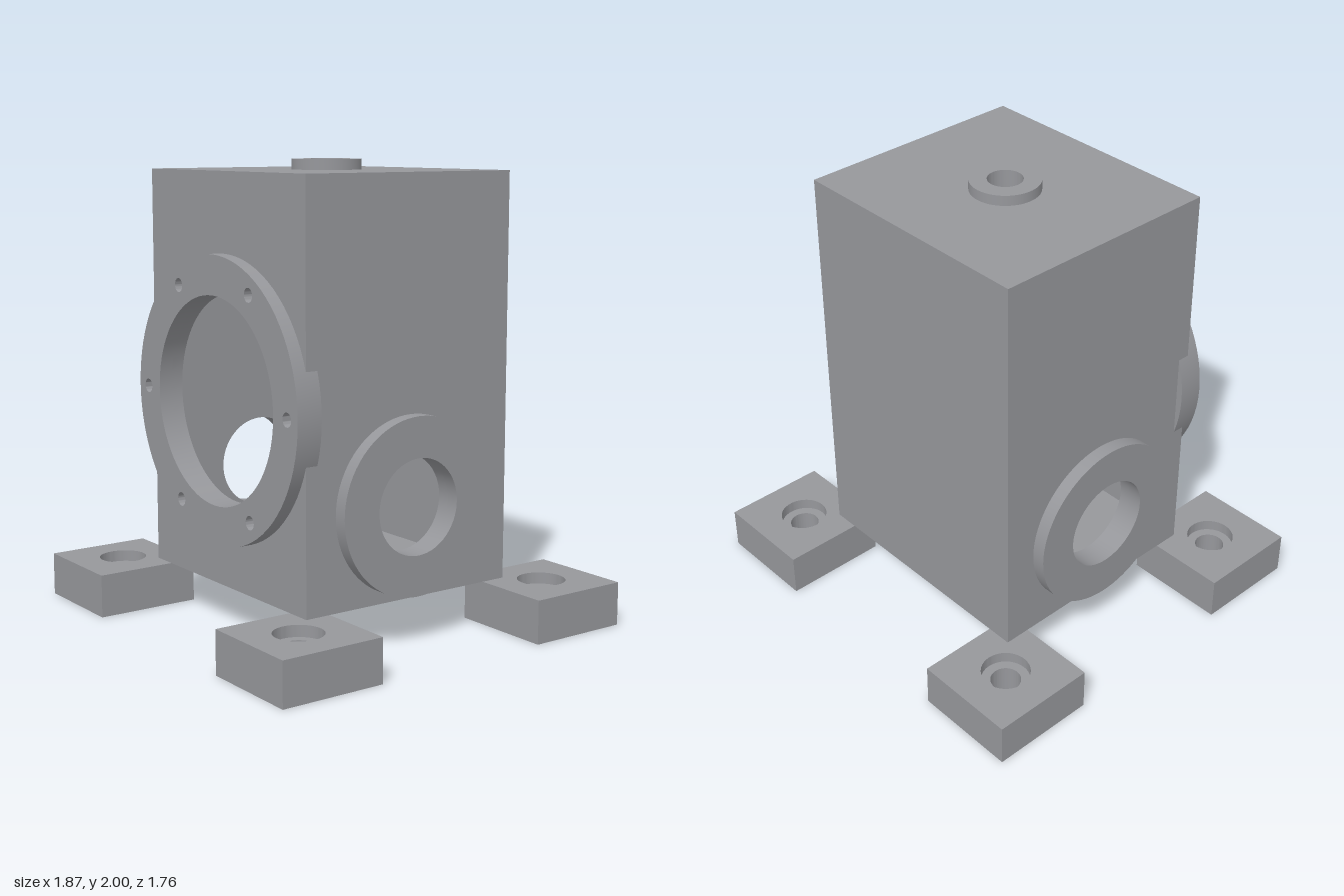
import * as THREE from 'three';
import { toCreasedNormals } from 'three/addons/utils/BufferGeometryUtils.js';

// Main dimensions of the housing
const W = 1.17, D = 1.05, Y0 = 0.19, Y1 = 1.955, WALL = 0.055;
const H = Y1 - Y0, MID = (Y0 + Y1) / 2;
const BORE_Y = 1, SHAFT_Y = 0.59;

// Outline helpers
function rect(w, h) {
  return new THREE.Shape([
    new THREE.Vector2(-w / 2, -h / 2), new THREE.Vector2(w / 2, -h / 2),
    new THREE.Vector2(w / 2, h / 2), new THREE.Vector2(-w / 2, h / 2),
  ]);
}
function disc(r) {
  const s = new THREE.Shape();
  s.absarc(0, 0, r, 0, Math.PI * 2, false);
  return s;
}
function drill(shape, x, y, r) {
  const p = new THREE.Path();
  p.absarc(x, y, r, 0, Math.PI * 2, true);
  shape.holes.push(p);
  return shape;
}

export function createModel() {
  const model = new THREE.Group();
  model.name = 'gearHousing';
  const castMetal = new THREE.MeshStandardMaterial({ color: 0x96979b });
  castMetal.name = 'cast metal grey';

  // Extrudes an outline along its local +z with crisp rims and smooth bores
  function add(name, shape, depth, pos, rot = [0, 0, 0], parent = model) {
    const geo = new THREE.ExtrudeGeometry(shape, { depth, bevelEnabled: false, curveSegments: 40 });
    const mesh = new THREE.Mesh(toCreasedNormals(geo, 0.6), castMetal);
    mesh.name = name;
    mesh.position.set(...pos);
    mesh.rotation.set(...rot);
    parent.add(mesh);
    return mesh;
  }
  const UP = [-Math.PI / 2, 0, 0];

  // Hollow box body
  add('frontWall', drill(rect(W, H), 0, BORE_Y - MID, 0.445), WALL, [0, MID, D / 2 - WALL]);
  add('backWall', rect(W, H), WALL, [0, MID, -D / 2]);
  add('floor', rect(W, D), WALL, [0, Y0, 0], UP);
  add('roof', drill(rect(W, D), 0, 0, 0.075), WALL, [0, Y1 - WALL, 0], UP);

  // Side walls with shaft bosses
  for (const s of [1, -1]) {
    const side = s > 0 ? 'left' : 'right', turn = [0, s * Math.PI / 2, 0];
    const x = s * (W / 2 - WALL);
    add(side + 'Wall', drill(rect(D, H), 0, SHAFT_Y - MID, 0.205), WALL, [x, MID, 0], turn);
    add(side + 'ShaftBoss', drill(disc(0.38), 0, 0, 0.205), WALL + 0.06, [x, SHAFT_Y, 0], turn);
  }

  // Front flange with six bolt holes
  const flange = drill(disc(0.615), 0, 0, 0.445);
  for (let i = 0; i < 6; i++) {
    const a = i * Math.PI / 3;
    drill(flange, 0.54 * Math.cos(a), 0.54 * Math.sin(a), 0.03);
  }
  add('frontFlange', flange, WALL + 0.06, [0, BORE_Y, D / 2 - WALL]);

  // Filler boss on the roof
  add('fillerBoss', drill(disc(0.15), 0, 0, 0.075), 2 - Y1 + WALL, [0, Y1 - WALL, 0], UP);

  // Four mounting feet with counterbored holes
  for (const sx of [1, -1]) for (const sz of [1, -1]) {
    const foot = new THREE.Group();
    foot.name = (sz > 0 ? 'front' : 'back') + (sx > 0 ? 'Left' : 'Right') + 'Foot';
    foot.position.set(sx * 0.7025, 0, sz * 0.645);
    add('footBase', drill(rect(0.465, 0.47), 0, 0, 0.065), 0.14, [0, 0, 0], UP, foot);
    add('footCounterbore', drill(rect(0.465, 0.47), 0, 0, 0.105), 0.05, [0, 0.14, 0], UP, foot);
    model.add(foot);
  }
  return model;
}
